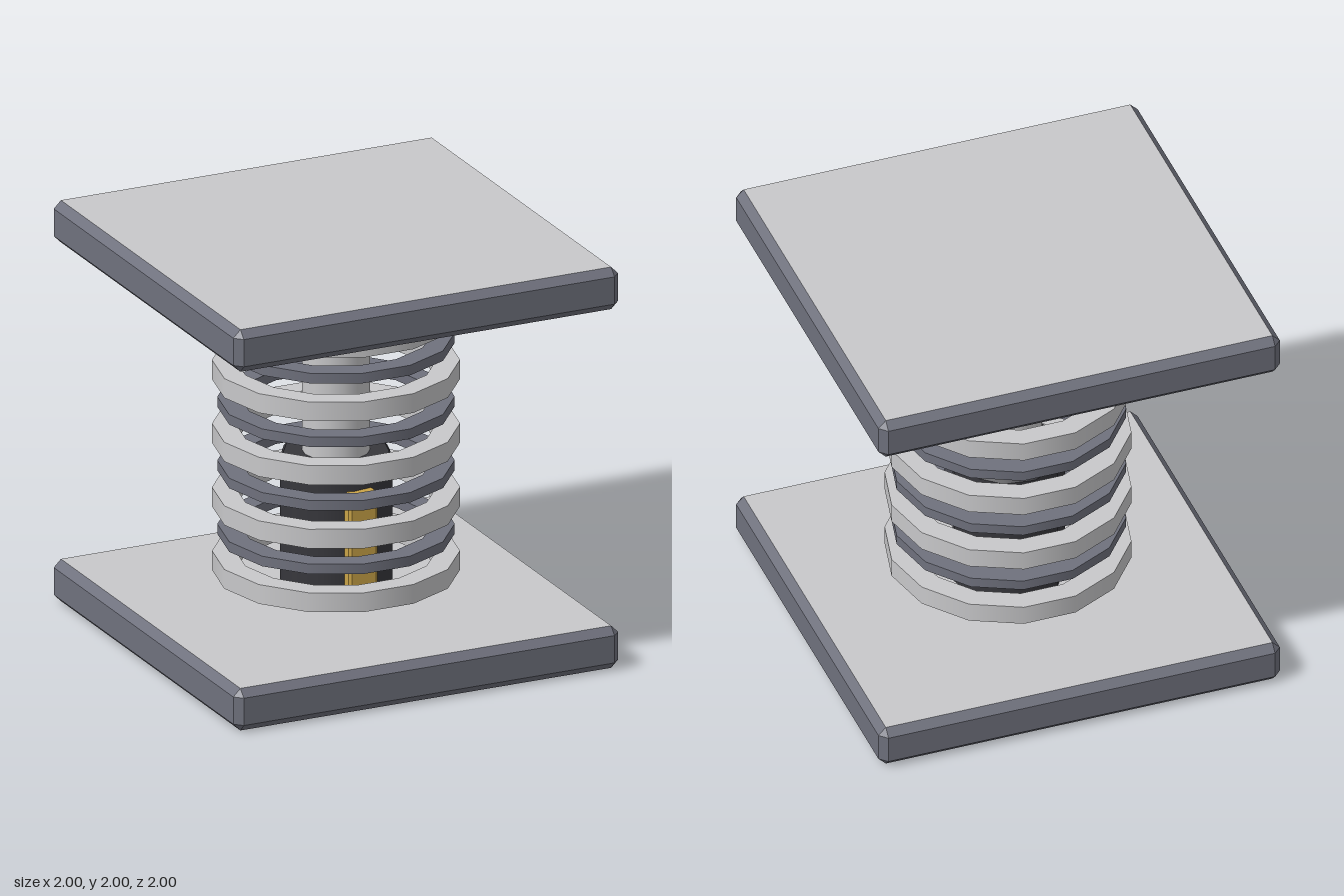
import * as THREE from 'three';
import { mergeGeometries } from 'three/addons/utils/BufferGeometryUtils.js';
import { ConvexGeometry } from 'three/addons/geometries/ConvexGeometry.js';

const material = (name, color) => new THREE.MeshStandardMaterial({ name, color });

// Box with every edge chamfered by c; triangles facing up or down go to material slot 1
function chamferedBox(w, h, d, c) {
  const points = [];
  for (const sx of [-1, 1]) for (const sy of [-1, 1]) for (const sz of [-1, 1]) {
    const x = w / 2, y = h / 2, z = d / 2;
    points.push(
      new THREE.Vector3(sx * x, sy * (y - c), sz * (z - c)),
      new THREE.Vector3(sx * (x - c), sy * y, sz * (z - c)),
      new THREE.Vector3(sx * (x - c), sy * (y - c), sz * z));
  }
  const geometry = new ConvexGeometry(points);
  const normal = geometry.attributes.normal;
  for (let i = 0; i < normal.count; i += 3) {
    geometry.addGroup(i, 3, Math.abs(normal.getY(i)) > 0.98 ? 1 : 0);
  }
  return geometry;
}

// Turned solid, smooth around the axis and sharp between profile bands
function turned(profile, sides) {
  const bands = [];
  for (let i = 0; i < profile.length - 1; i++) {
    const pair = [profile[i], profile[i + 1]].map(p => new THREE.Vector2(p[0], p[1]));
    bands.push(new THREE.LatheGeometry(pair, sides, Math.PI / 2));
  }
  return mergeGeometries(bands);
}

function ring(inner, outer, height) {
  const h = height / 2;
  return turned([[outer, -h], [outer, h], [inner, h], [inner, -h], [outer, -h]], 14);
}

export function createModel() {
  const group = new THREE.Group();
  const lightMetal = material('light metal', 0xc8c8ca);
  const darkMetal = material('dark metal', 0x6f717d);
  const blackCasing = material('black casing', 0x37373c);
  const brass = material('brass', 0xcaa448);

  function add(name, geometry, mat, y, z = 0) {
    const mesh = new THREE.Mesh(geometry, mat);
    mesh.name = name;
    mesh.position.set(0, y, z);
    group.add(mesh);
  }

  // End plates: dark rims with light faces
  const plate = chamferedBox(2, 0.21, 2, 0.037);
  add('basePlate', plate, [darkMetal, lightMetal], 0.105);
  add('topPlate', plate, [darkMetal, lightMetal], 1.895);

  // Damper: casing and piston rod
  add('damperCasing', turned([[0.266, 0.2], [0.266, 0.905], [0.25, 0.925], [0, 0.925]], 11), blackCasing, 0);
  add('pistonRod', turned([[0.16, 0.9], [0.16, 1.8]], 14), lightMetal, 0);

  // Indicator strip on the front of the casing
  add('indicatorStrip', chamferedBox(0.15, 0.53, 0.08, 0.013), [brass, brass], 0.542, 0.262);

  // Spring coils, wide light rings alternating with thin dark ones
  const coil = ring(0.47, 0.58, 0.096);
  const spacer = ring(0.45, 0.555, 0.05);
  const pitch = 0.3175;
  for (let i = 0; i < 5; i++) {
    add('springCoil', coil, lightMetal, 0.37 + i * pitch);
    if (i < 4) add('springSpacer', spacer, darkMetal, 0.527 + i * pitch);
  }
  return group;
}
